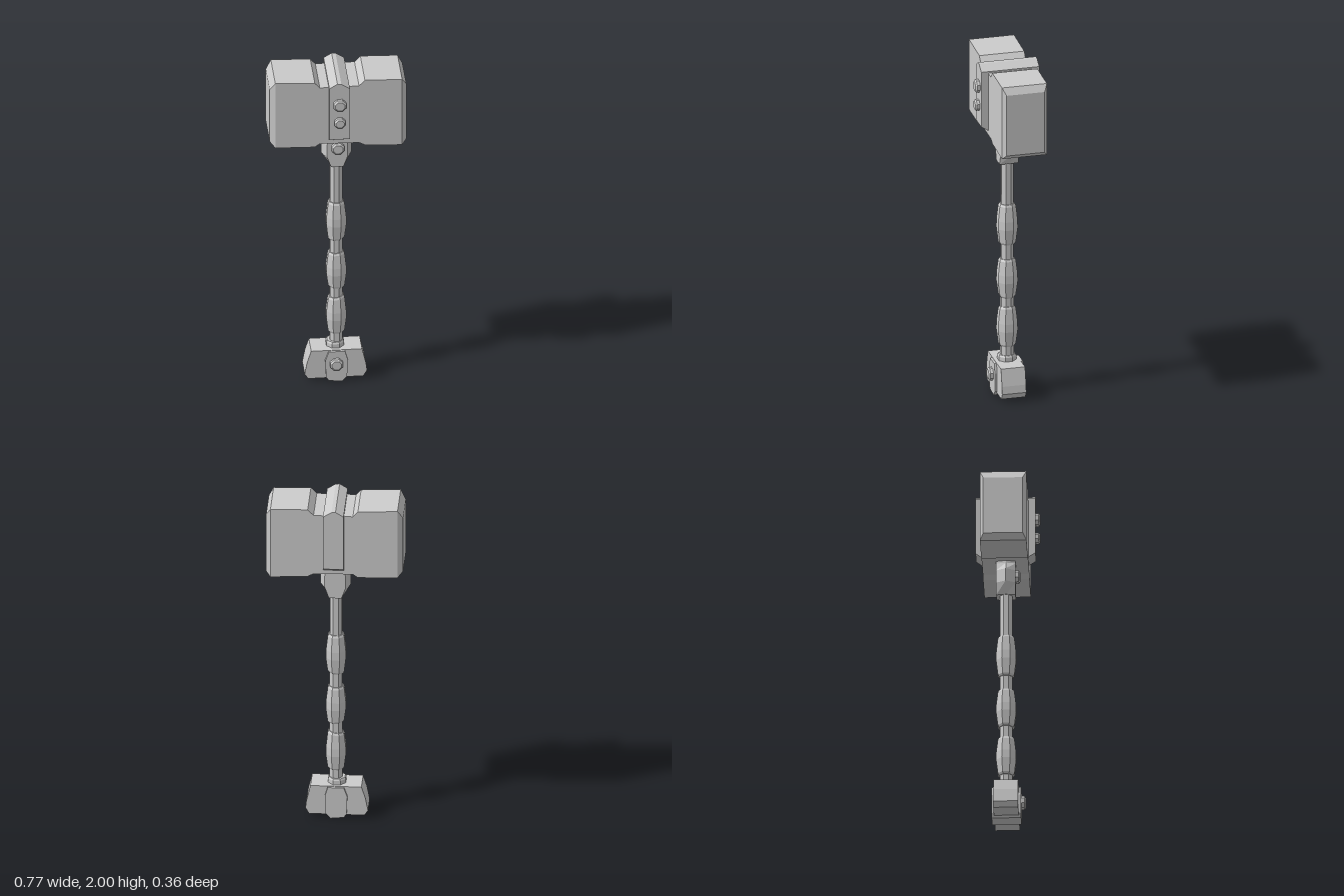
import * as THREE from 'three';

const material = new THREE.MeshStandardMaterial({ color: 0xcccccc, flatShading: true });

// Skin a list of equal-length convex rings and close both ends.
function loft(rings) {
  const pos = [];
  const tri = (...pts) => pts.forEach((p) => pos.push(...p));
  const n = rings[0].length;
  for (let i = 0; i < rings.length - 1; i++) {
    for (let j = 0; j < n; j++) {
      const k = (j + 1) % n;
      const [a, b, c, d] = [rings[i][j], rings[i][k], rings[i + 1][k], rings[i + 1][j]];
      tri(a, b, c);
      tri(a, c, d);
    }
  }
  const first = rings[0], last = rings[rings.length - 1];
  for (let j = 1; j < n - 1; j++) {
    tri(first[0], first[j + 1], first[j]);
    tri(last[0], last[j], last[j + 1]);
  }
  const g = new THREE.BufferGeometry();
  g.setAttribute('position', new THREE.Float32BufferAttribute(pos, 3));
  g.computeVertexNormals();
  return g;
}

// Prism of an x/y outline between two depths.
const prism = (outline, z0, z1) => loft([z0, z1].map((z) => outline.map(([x, y]) => [x, y, z])));

// Eight-sided turned solid; points are [radius, y].
function turned(points) {
  const g = new THREE.LatheGeometry(points.map(([r, y]) => new THREE.Vector2(r, y)), 8);
  return g.rotateY(Math.PI / 8);
}

export function createModel() {
  const hammer = new THREE.Group();
  hammer.name = 'hammer';
  const add = (name, geometry, x = 0, y = 0, z = 0) => {
    const mesh = new THREE.Mesh(geometry, material);
    mesh.name = name;
    mesh.position.set(x, y, z);
    hammer.add(mesh);
    return mesh;
  };

  // Head: rectangular sections along x as [x, bottom, top, back, front]
  const headSections = [
    [-0.385, 1.61, 1.95, -0.125, 0.095],
    [-0.355, 1.577, 2.0, -0.145, 0.115],
    [-0.133, 1.57, 1.988, -0.145, 0.115],
    [-0.105, 1.59, 1.957, -0.145, 0.115],
    [0.115, 1.585, 1.957, -0.145, 0.115],
    [0.148, 1.568, 1.992, -0.145, 0.115],
    [0.357, 1.556, 1.985, -0.145, 0.115],
    [0.382, 1.582, 1.945, -0.125, 0.095],
  ];
  add('head', loft(headSections.map(([x, b, t, zb, zf]) =>
    [[x, b, zb], [x, t, zb], [x, t, zf], [x, b, zf]])));

  // Band wrapped over the head, with bevelled lower ends
  const bandSections = [[-0.18, 1.637], [-0.145, 1.612], [0.115, 1.612], [0.155, 1.637]];
  add('headBand', loft(bandSections.map(([z, b]) => [
    [-0.055, b, z], [0.06, b, z], [0.06, 1.967, z],
    [0.012, 1.998, z], [-0.01, 2.0, z], [-0.055, 1.972, z],
  ])));

  // Six-sided socket under the head: [y, front half width, side half width]
  const socketSections = [
    [1.39, 0.035, 0.042], [1.455, 0.058, 0.085], [1.53, 0.058, 0.085], [1.575, 0.05, 0.063], [1.6, 0.05, 0.063],
  ];
  add('socket', loft(socketSections.map(([y, w, s]) => [
    [-w, y, 0.043], [w, y, 0.043], [s, y, -0.01],
    [w, y, -0.065], [-w, y, -0.065], [-s, y, -0.01],
  ])));

  // Shaft and its foot ring
  add('shaft', turned([[0, 0.15], [0.039, 0.15], [0.037, 1.42], [0, 1.42]]), -0.002, 0, -0.01);
  add('footRing', turned([[0, 0.18], [0.054, 0.18], [0.054, 0.222], [0.048, 0.232], [0, 0.232]]), -0.008, 0, -0.01);

  // Bulging grip wraps: [bottom, top, tilt of bottom edge, tilt of top edge]
  for (const [y0, y1, tilt0, tilt1] of [[0.285, 0.52, 0, 0.13], [0.58, 0.81, -0.1, 0.02], [0.895, 1.14, 0.08, 0]]) {
    const h = y1 - y0;
    const g = turned([
      [0, 0], [0.042, 0], [0.05, 0.012], [0.061, h * 0.4], [0.06, h * 0.6], [0.05, h - 0.012], [0.043, h], [0, h],
    ]);
    const p = g.attributes.position;
    for (let i = 0; i < p.count; i++) {
      const y = p.getY(i);
      const tilt = y < h * 0.3 ? tilt0 : y > h * 0.7 ? tilt1 : 0;
      p.setY(i, y + tilt * p.getX(i));
    }
    g.computeVertexNormals();
    add('gripWrap', g, -0.002, y0, -0.01);
  }

  // Pommel block and its centre band
  add('pommel', prism([
    [-0.165, 0.02], [0.145, 0.02], [0.165, 0.055], [0.16, 0.1], [0.137, 0.198], [-0.148, 0.198], [-0.17, 0.13], [-0.185, 0.05],
  ], -0.077, 0.062));
  add('pommelBand', prism([
    [-0.05, 0.008], [0.025, 0], [0.052, 0.03], [0.056, 0.14], [0.04, 0.195], [-0.05, 0.195], [-0.07, 0.14], [-0.066, 0.03],
  ], -0.09, 0.075));

  // Bolts on the front: [x, y, z, radius]
  for (const [x, y, z, r] of [
    [0.003, 1.865, 0.155, 0.038], [0.003, 1.75, 0.155, 0.033], [0.003, 1.515, 0.043, 0.038], [-0.008, 0.117, 0.075, 0.038],
  ]) {
    const bolt = turned([[0, -0.01], [r, -0.01], [r, 0.017], [r * 0.74, 0.025], [0, 0.025]]);
    add('bolt', bolt.rotateX(Math.PI / 2), x, y, z);
  }

  return hammer;
}
